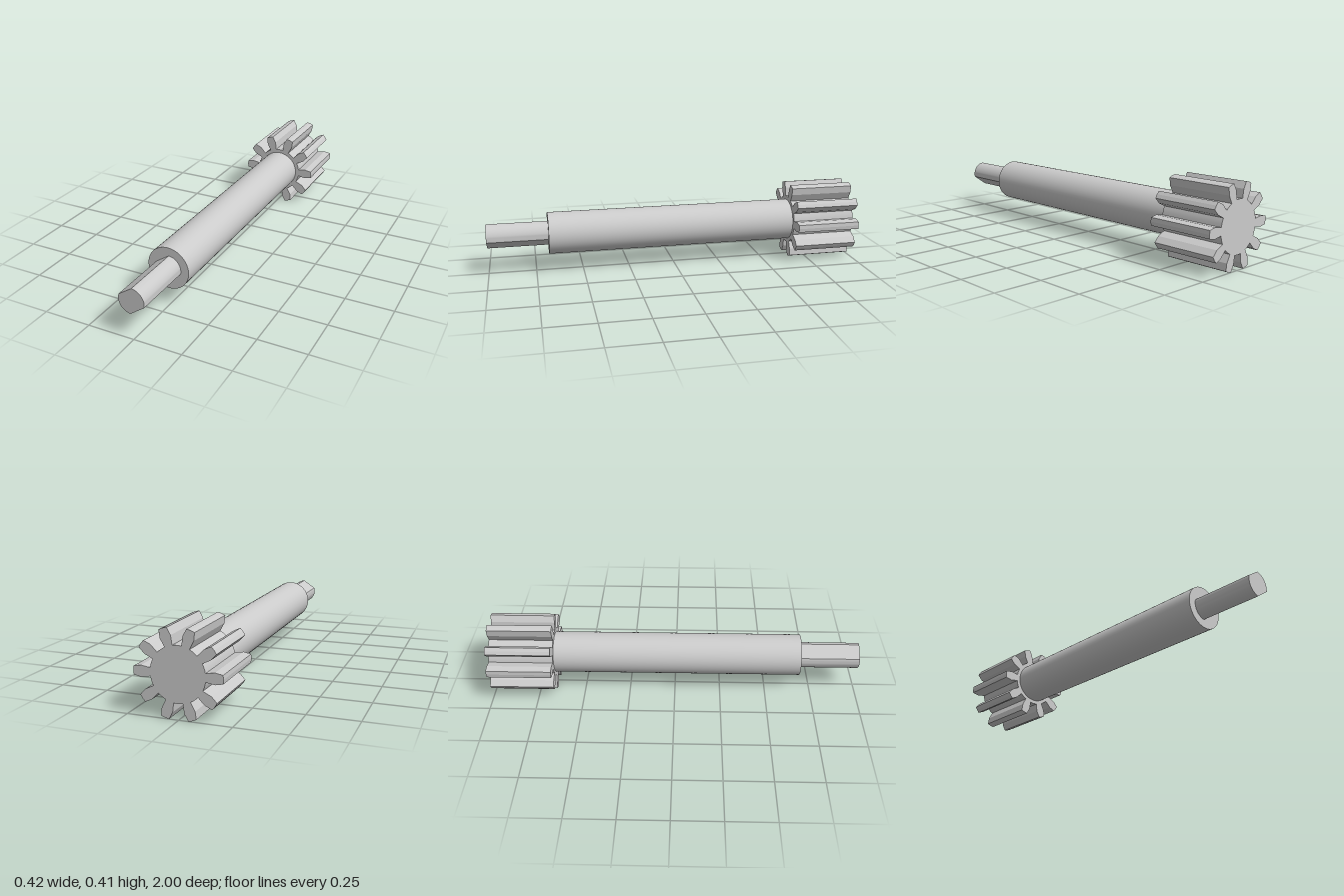
import * as THREE from 'three';
import { toCreasedNormals } from 'three/addons/utils/BufferGeometryUtils.js';

const AXIS_Y = 0.2055;
const TEETH = 10;
const polar = (r, deg) => {
  const a = THREE.MathUtils.degToRad(deg);
  return new THREE.Vector2(r * Math.cos(a), r * Math.sin(a));
};

export function createModel() {
  const group = new THREE.Group();
  const material = new THREE.MeshStandardMaterial({ color: 0xcccccc });

  // Extrudes an outline along z between two depths
  const addPrism = (name, points, zBack, zFront, crease) => {
    const geometry = new THREE.ExtrudeGeometry(new THREE.Shape(points), {
      depth: zFront - zBack, bevelEnabled: false,
    });
    const mesh = new THREE.Mesh(toCreasedNormals(geometry, crease), material);
    mesh.name = name;
    mesh.position.set(0, AXIS_Y, zBack);
    group.add(mesh);
  };

  // Pinion gear: [radius, angle from the tooth centre], then the root arc
  const tooth = [
    [0.131, -8.5], [0.175, -8.9], [0.2105, -5.4], [0.2115, 0],
    [0.2105, 5.4], [0.175, 8.9], [0.131, 8.5], [0.131, 14.8], [0.131, 21.2],
  ];
  const gear = [];
  for (let i = 0; i < TEETH; i++) {
    for (const [r, a] of tooth) gear.push(polar(r, a + i * 360 / TEETH));
  }
  addPrism('pinionGear', gear, -1, -0.655, 0.15);

  // Round main shaft
  const shaft = new THREE.Mesh(
    new THREE.CylinderGeometry(0.111, 0.111, 1.335, 48), material);
  shaft.name = 'shaft';
  shaft.rotation.x = Math.PI / 2;
  shaft.position.set(0, AXIS_Y, 0.0125);
  group.add(shaft);

  // Drive end: a round pin with two opposite flats
  const pin = [];
  for (const [start, end] of [[-13, 86], [161, 263]]) {
    for (let i = 0; i <= 14; i++) {
      pin.push(polar(0.0685, start + (end - start) * i / 14));
    }
  }
  addPrism('driveEnd', pin, 0.67, 1, 0.4);

  return group;
}
